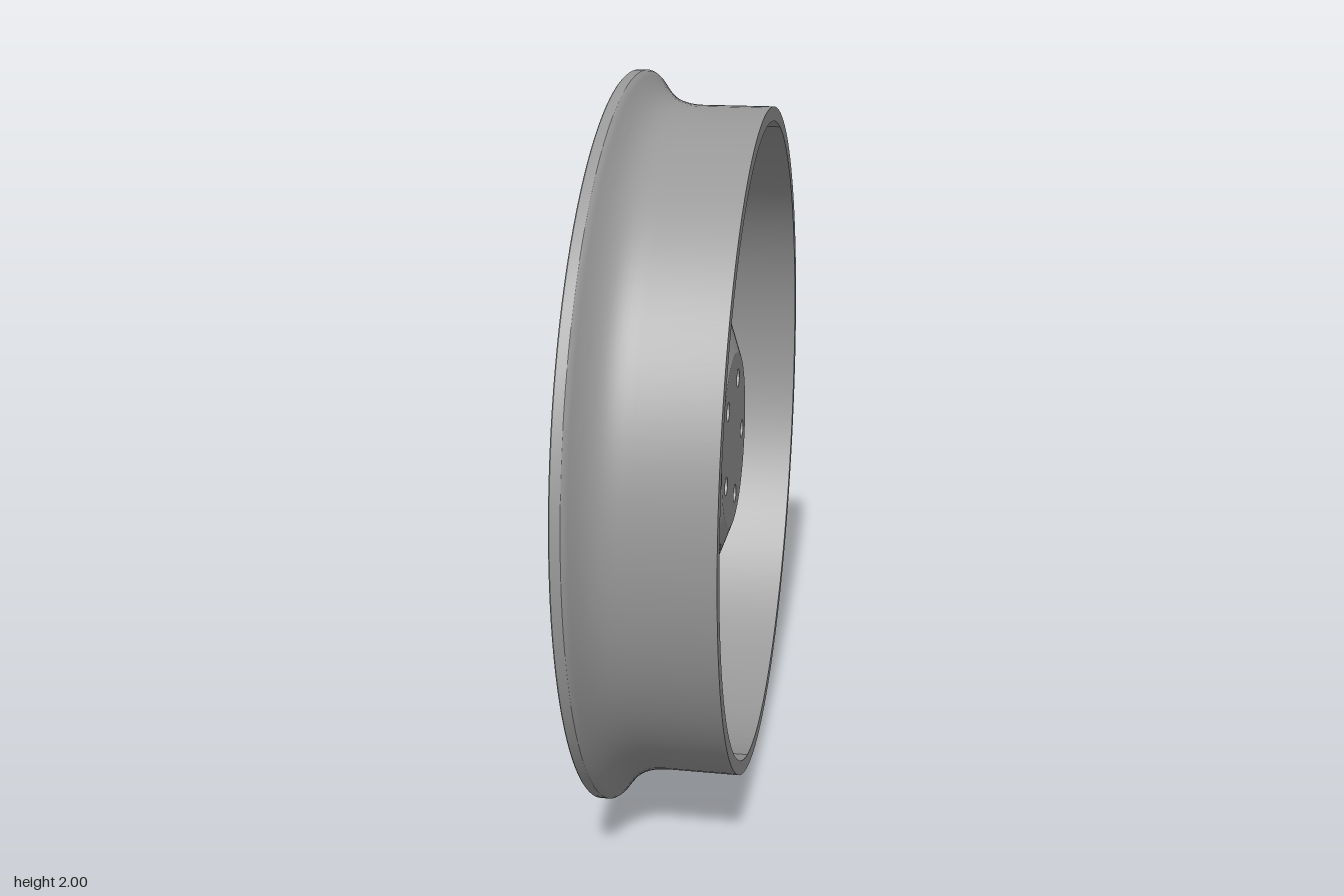
import * as THREE from 'three';
import { toCreasedNormals } from 'three/addons/utils/BufferGeometryUtils.js';

// Local frame: wheel axis along z, outer (street) face towards -z.
const RAD = Math.PI / 180, SECTOR = 36 * RAD, FIRST = -9 * RAD;
const material = new THREE.MeshStandardMaterial({ color: 0x989898, side: THREE.DoubleSide });

// Window outline between two spokes: straight edges, one inner and two outer fillets
const NORMAL = 46 * RAD, EDGE = 0.188, F_IN = 0.05, F_OUT = 0.068, R_OUT = 0.835;
const C_IN = (EDGE + F_IN) / Math.cos(NORMAL), C_OUT = R_OUT - F_OUT;
const TIP = C_IN - F_IN;
const R1 = Math.hypot(EDGE, C_IN * Math.sin(NORMAL));
const R2 = Math.hypot(EDGE, Math.sqrt(C_OUT ** 2 - (EDGE + F_OUT) ** 2));
const A_OUT = NORMAL - Math.acos((EDGE + F_OUT) / C_OUT);

const circleAngle = (r, c, f) =>
  Math.acos(Math.min(1, (r * r + c * c - f * f) / (2 * r * c)));

// Half angle covered by a spoke at radius r
function halfAngle(r) {
  if (r <= TIP + 1e-9) return SECTOR;
  if (r < R1) return SECTOR - circleAngle(r, C_IN, F_IN);
  if (r <= R2) return SECTOR + NORMAL - Math.acos(EDGE / r);
  return SECTOR + A_OUT - circleAngle(r, C_OUT, F_OUT);
}

// Piecewise linear profile through [radius, z] pairs
function profile(pairs, r) {
  if (r <= pairs[0][0]) return pairs[0][1];
  for (let i = 1; i < pairs.length; i++) {
    const [r0, z0] = pairs[i - 1], [r1, z1] = pairs[i];
    if (r <= r1) return z0 + (z1 - z0) * (r - r0) / (r1 - r0);
  }
  return pairs[pairs.length - 1][1];
}
const FRONT = [[0.225, 0.055], [0.25, 0], [0.285, -0.002], [0.75, -0.14], [0.88, -0.14]];
const BACK = [[0.245, 0.1], [0.71, -0.07], [0.88, -0.07]];
const POCKET = [[0.3, 0], [0.325, 0.03], [0.74, 0.03], [0.765, 0]];

// Rows of a spoke sector from the hub to the rim
function spokeRows() {
  const rows = [];
  const add = (r, h = halfAngle(r), edge = 0.015) => rows.push({ r, h, edge });
  [0.225, 0.245, 0.25, 0.285].forEach(r => add(r, SECTOR, 0));
  for (let i = 0; i <= 8; i++) add(TIP + (R1 - TIP) * (i / 8) ** 2, undefined, 0.015 * i / 8);
  [0.325, 0.4, 0.5, 0.6, 0.71, 0.74].forEach(r => add(r));
  for (let i = 0; i <= 18; i++) {
    add(R2 + (R_OUT - R2) * (1 - Math.cos(Math.PI * i / 18)) / 2, undefined, 0.015 * (1 - i / 18));
  }
  // outer arc of the window, then the closed ring
  const h0 = SECTOR + A_OUT;
  for (let i = 1; i <= 8; i++) add(R_OUT, h0 + (SECTOR - h0) * i / 8, 0);
  add(0.85, SECTOR, 0);
  add(0.874, SECTOR, 0);
  return rows.sort((a, b) => a.r - b.r);
}

// Loft of one spoke: each row is a closed loop, back then front
function spokeGeometry() {
  const rows = spokeRows(), pos = [], index = [];
  const SUB = 6, half = SUB + 3, cols = 2 * half + 1, loop = 2 * cols;
  for (const { r, h, edge } of rows) {
    const pw = 0.05 / r, shoulder = 0.063 / r, rim = h - 0.013 / r;
    const right = [0, pw];
    for (let k = 0; k <= SUB; k++) right.push(shoulder + (rim - shoulder) * k / SUB);
    right.push(h);
    const depth = profile(POCKET, r);
    const point = (j, front) => {
      const k = Math.abs(j - half), a = Math.sign(j - half) * right[k];
      const z = front
        ? profile(FRONT, r) + (k < 2 ? depth : k === half ? edge : 0)
        : profile(BACK, r);
      pos.push(r * Math.cos(a), r * Math.sin(a), z);
    };
    for (let j = 0; j < cols; j++) point(j, false);
    for (let j = cols - 1; j >= 0; j--) point(j, true);
  }
  for (let i = 0; i + 1 < rows.length; i++) {
    const closed = rows[i].h === SECTOR && rows[i + 1].h === SECTOR;
    const sameRadius = Math.abs(rows[i].r - rows[i + 1].r) < 1e-9;
    for (let j = 0; j < loop; j++) {
      const wall = j === cols - 1 || j === loop - 1;
      if (wall ? closed : sameRadius) continue;
      const a = i * loop + j, b = i * loop + (j + 1) % loop;
      index.push(a, a + loop, b + loop, a, b + loop, b);
    }
  }
  const g = new THREE.BufferGeometry();
  g.setAttribute('position', new THREE.Float32BufferAttribute(pos, 3));
  g.setIndex(index);
  return toCreasedNormals(g, 16 * RAD);
}

// Round hub plate with five bolt holes
function hubPlate(holeRadius, z0, z1) {
  const shape = new THREE.Shape().absarc(0, 0, 0.226, 0, Math.PI * 2);
  for (let k = 0; k < 5; k++) {
    const a = FIRST + 2 * SECTOR * k;
    shape.holes.push(new THREE.Path().absarc(
      0.174 * Math.cos(a), 0.174 * Math.sin(a), holeRadius, 0, Math.PI * 2, true));
  }
  const g = new THREE.ExtrudeGeometry(shape, { depth: z1 - z0, bevelEnabled: false, curveSegments: 40 });
  return toCreasedNormals(g.translate(0, 0, z0), 30 * RAD);
}

// Barrel with a flared outer lip
function rimGeometry() {
  const flare = new THREE.CubicBezierCurve(
    new THREE.Vector2(0.996, -0.15), new THREE.Vector2(0.945, -0.115),
    new THREE.Vector2(0.914, -0.09), new THREE.Vector2(0.911, -0.01)).getPoints(14);
  const points = [
    [0.868, -0.14], [0.88, -0.184], [0.997, -0.184], [1, -0.181], [1, -0.156],
  ].map(p => new THREE.Vector2(...p)).concat(flare,
    [[0.911, 0.183], [0.873, 0.183], [0.873, -0.07], [0.868, -0.14]].map(p => new THREE.Vector2(...p)));
  const g = new THREE.LatheGeometry(points, 128).rotateX(Math.PI / 2);
  return toCreasedNormals(g, 30 * RAD);
}

export function createModel() {
  const model = new THREE.Group();
  model.name = 'wheel';
  const wheel = new THREE.Group();
  wheel.name = 'wheelBody';
  const add = (name, geometry) => {
    const mesh = new THREE.Mesh(geometry, material);
    mesh.name = name;
    wheel.add(mesh);
    return mesh;
  };

  add('rim', rimGeometry());
  const spoke = spokeGeometry();
  for (let k = 0; k < 5; k++) add('spoke' + (k + 1), spoke).rotation.z = FIRST + 2 * SECTOR * k;

  // Hub with counterbored bolt holes and a centre cap
  add('hubFace', hubPlate(0.044, 0.055, 0.08));
  add('hubBack', hubPlate(0.026, 0.08, 0.1));
  const cap = new THREE.CylinderGeometry(0.12, 0.11, 0.012, 48).rotateX(Math.PI / 2);
  add('centreCap', cap.translate(0, 0, 0.051));

  wheel.rotation.y = Math.PI / 2;
  wheel.position.y = 1;
  model.add(wheel);
  return model;
}
